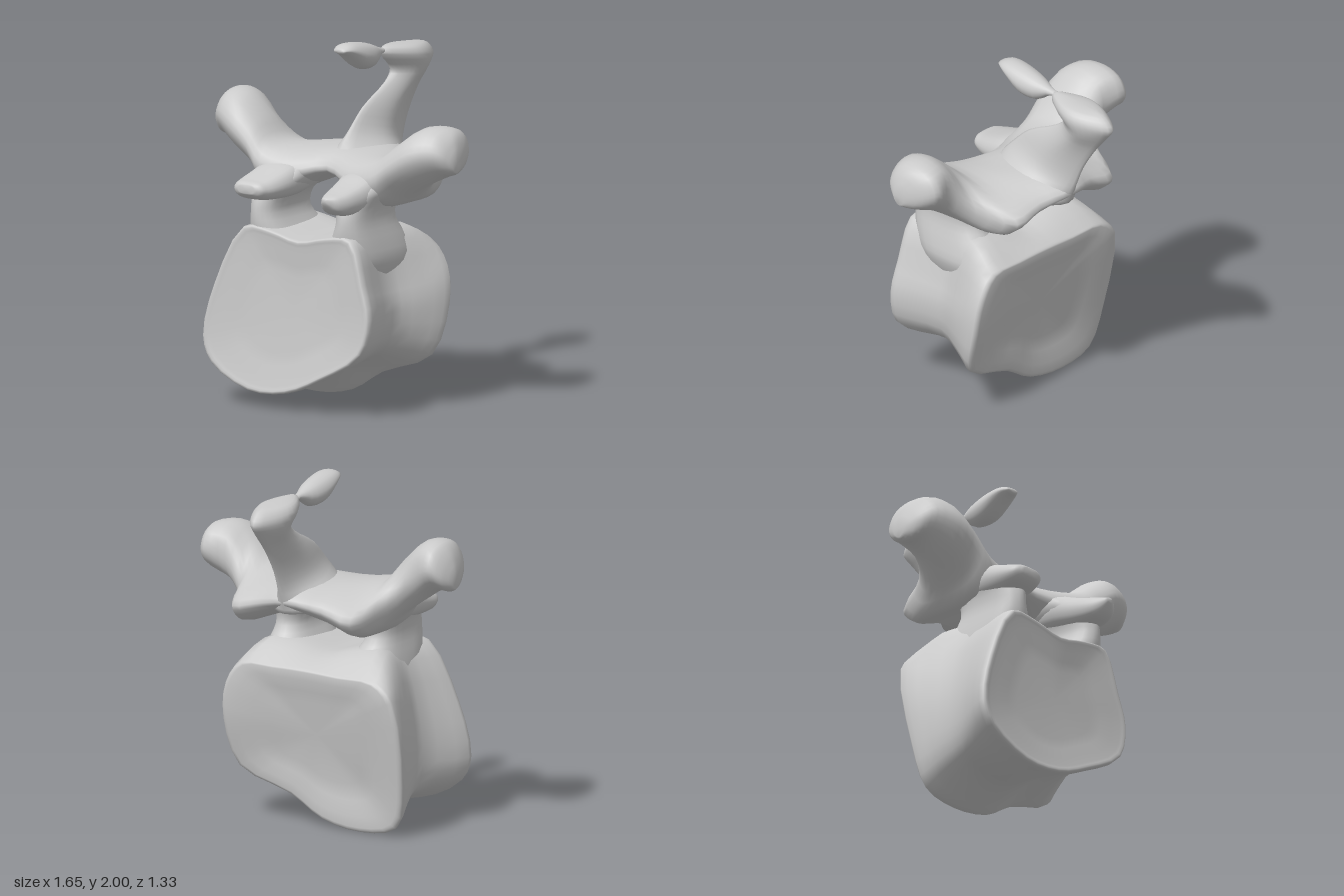
import * as THREE from 'three';

const V = (x, y, z) => new THREE.Vector3(x, y, z);
const material = new THREE.MeshStandardMaterial({ color: 0xcccccc });

// Smooth closed skin through a row of cross-sections (each a loop of points).
function loft(name, sections, sides = 28, steps = 3) {
  const loops = sections.map(pts => {
    const curve = new THREE.CatmullRomCurve3(pts, true, 'centripetal');
    return Array.from({ length: sides }, (_, i) => curve.getPoint(i / sides));
  });
  const rows = (loops.length - 1) * steps + 1;
  const columns = Array.from({ length: sides }, (_, i) =>
    new THREE.CatmullRomCurve3(loops.map(l => l[i]), false, 'centripetal'));
  const verts = [], index = [];
  for (let r = 0; r < rows; r++) for (const c of columns) verts.push(c.getPoint(r / (rows - 1)));
  for (let r = 0; r < rows - 1; r++) for (let i = 0; i < sides; i++) {
    const a = r * sides + i, b = r * sides + (i + 1) % sides;
    index.push(a, b, a + sides, b, b + sides, a + sides);
  }
  // End caps, fanned from the middle of each end loop
  for (const r of [0, rows - 1]) {
    const mid = V(0, 0, 0), m = verts.length;
    for (let i = 0; i < sides; i++) mid.addScaledVector(verts[r * sides + i], 1 / sides);
    verts.push(mid);
    for (let i = 0; i < sides; i++) {
      const a = r * sides + i, b = r * sides + (i + 1) % sides;
      if (r === 0) index.push(m, b, a); else index.push(m, a, b);
    }
  }
  // Turn the faces outward when the enclosed volume comes out negative
  let volume = 0;
  for (let i = 0; i < index.length; i += 3) {
    const [a, b, c] = [0, 1, 2].map(k => verts[index[i + k]]);
    volume += a.dot(b.clone().cross(c));
  }
  if (volume < 0) index.reverse();
  const g = new THREE.BufferGeometry().setFromPoints(verts);
  g.setIndex(index);
  g.computeVertexNormals();
  const mesh = new THREE.Mesh(g, material);
  mesh.name = name;
  return mesh;
}

// Eight-point loop with half-axis vectors u and v; k below 1 makes it lozenge-shaped.
function oval(center, u, v, k = 1.1) {
  return Array.from({ length: 8 }, (_, i) => {
    const a = i * Math.PI / 4, s = i % 2 ? k : 1;
    return center.clone().addScaledVector(u, Math.cos(a) * s).addScaledVector(v, Math.sin(a) * s);
  });
}

function vertebralBody() {
  const front = [[-.38, 1], [-.2, 1], [0, .96], [.2, 1], [.36, 1], [.45, .76], [.5, .57], [.45, .37],
    [.18, .2], [-.06, .1], [-.32, .09], [-.58, .22], [-.64, .36], [-.57, .66]];
  const back = [[-.45, .9], [-.22, .91], [0, .92], [.22, .92], [.42, .91], [.52, .78], [.55, .57], [.49, .29],
    [.17, .16], [-.03, .04], [-.28, 0], [-.5, .05], [-.57, .3], [-.56, .8]];
  const cx = -.04, cy = .53;
  // t: 0 front to 1 back, s: size about the centre
  const ring = (t, s, zAt, keepTop) => front.map(([x, y], i) => {
    const px = x + (back[i][0] - x) * t, py = y + (back[i][1] - y) * t;
    const yy = cy + (py - cy) * s;
    const top = keepTop && i < 5;
    return V(cx + (px - cx) * s, top ? (i === 2 ? .97 : 1.01) : yy, zAt(yy));
  });
  const face = y => .59 - .05 * y;
  const rear = y => -.025 - .135 * THREE.MathUtils.smoothstep(y, .05, .75);
  return loft('vertebralBody', [
    ring(0, .5, y => face(y) - .03),
    ring(0, .9, y => face(y) - .005),
    ring(0, .98, face),
    ring(.03, 1, y => face(y) - .04),
    ring(.5, .84, () => .25, true),
    ring(.8, .93, y => .1 - .08 * y, true),
    ring(1, 1, y => rear(y) + .02),
    ring(1, .95, rear),
    ring(1, .5, y => rear(y) + .04),
  ], 42);
}

function pedicle(side) {
  // y, inner x, outer x, rear z, front z; the foot flares into the body
  const rows = [[.62, .1, .3, .1, .4], [.84, .1, .42, -.06, .48], [.96, .14, .41, -.01, .525], [1.08, .2, .385, .08, .535],
    [1.17, .185, .39, .07, .52], [1.25, .13, .42, .0, .47], [1.33, .12, .4, .02, .34]];
  return loft('pedicle', rows.map(([y, a, b, c, d]) =>
    oval(V(side * (a + b) / 2, y, (c + d) / 2), V((b - a) / 2, 0, 0), V(0, 0, (d - c) / 2))));
}

// Roof of the arch running out into both transverse processes
function archAndTransverseProcesses() {
  // x, lift and z shift on the right-hand side, loop of [z, y]
  const half = [
    [.2, 0, 0, [[.36, 1.28], [.29, 1.38], [0, 1.42], [-.2, 1.38], [-.31, 1.3], [-.22, 1.22], [0, 1.2], [.25, 1.21]]],
    [.38, 0, 0, [[.39, 1.3], [.32, 1.42], [.1, 1.43], [-.15, 1.35], [-.3, 1.26], [-.22, 1.17], [0, 1.14], [.3, 1.17]]],
    [.48, .04, 0, [[.38, 1.37], [.31, 1.49], [.12, 1.51], [0, 1.42], [-.08, 1.3], [-.04, 1.22], [.1, 1.2], [.28, 1.24]]],
    [.61, .06, 0, [[.37, 1.45], [.3, 1.57], [.15, 1.61], [.02, 1.56], [-.01, 1.43], [.03, 1.33], [.15, 1.28], [.3, 1.33]]],
    [.73, .07, -.01, [[.32, 1.48], [.26, 1.58], [.12, 1.61], [0, 1.57], [-.04, 1.48], [0, 1.4], [.12, 1.34], [.26, 1.38]]],
    [.79, .05, -.04, [[.28, 1.47], [.24, 1.53], [.15, 1.57], [.06, 1.53], [.03, 1.46], [.06, 1.4], [.15, 1.36], [.24, 1.39]]],
    [.825, .05, -.08, [[.22, 1.43], [.21, 1.46], [.18, 1.48], [.15, 1.46], [.14, 1.43], [.15, 1.4], [.18, 1.38], [.21, 1.4]]],
  ];
  const middle = [[.28, 1.32], [.21, 1.4], [-.05, 1.43], [-.3, 1.4], [-.37, 1.34], [-.28, 1.28], [0, 1.27], [.2, 1.28]];
  const make = s => half.map(([x, lift, shift, pts]) =>
    pts.map(([z, y]) => s < 0 ? V(-x, y + lift, z + shift) : V(x, y, z)));
  return loft('archAndTransverseProcesses',
    [...make(-1).reverse(), middle.map(([z, y]) => V(0, y, z)), ...make(1)]);
}

function superiorArticularProcess(side) {
  // z, inner x, outer x, bottom y, top y
  const rows = side > 0
    ? [[.15, .16, .4, 1.17, 1.34], [.33, .14, .4, 1.14, 1.34], [.46, .16, .385, 1.13, 1.295],
      [.57, .19, .365, 1.14, 1.265], [.62, .22, .34, 1.17, 1.255], [.655, .25, .29, 1.215, 1.245]]
    : [[.15, .16, .4, 1.17, 1.34], [.33, .14, .42, 1.15, 1.34], [.46, .16, .425, 1.15, 1.3],
      [.55, .19, .42, 1.16, 1.27], [.59, .21, .4, 1.18, 1.26], [.61, .25, .36, 1.2, 1.245]];
  return loft('superiorArticularProcess', rows.map(([z, a, b, c, d]) =>
    oval(V(side * (a + b) / 2, (c + d) / 2, z), V((b - a) / 2, 0, 0), V(0, (d - c) / 2, 0))));
}

function spinousProcess() {
  // front z, front y, back z, back y, half width
  const rows = [[.2, 1.34, -.34, 1.27, .26], [.16, 1.42, -.37, 1.34, .17], [.08, 1.51, -.4, 1.41, .085],
    [-.04, 1.62, -.45, 1.53, .06], [-.25, 1.73, -.54, 1.67, .065], [-.31, 1.79, -.63, 1.78, .095],
    [-.22, 1.89, -.67, 1.84, .115], [-.23, 1.925, -.62, 1.9, .09], [-.32, 1.935, -.55, 1.92, .03]];
  return loft('spinousProcess', rows.map(([fz, fy, bz, by, w]) =>
    oval(V(.012, (fy + by) / 2, (fz + bz) / 2), V(0, (fy - by) / 2, (fz - bz) / 2), V(w, 0, 0), .88)));
}

function spinousTip() {
  // z, y, half width, half height
  const rows = [[-.34, 1.88, .05, .045], [-.22, 1.91, .02, .015], [-.11, 1.9, .065, .065],
    [-.01, 1.915, .082, .075], [.08, 1.95, .075, .05], [.13, 1.965, .06, .03], [.17, 1.965, .035, .012]];
  return loft('spinousTip', rows.map(([z, y, w, h]) => oval(V(.005, y, z), V(w, 0, 0), V(0, h, 0), 1)));
}

export function createModel() {
  const model = new THREE.Group();
  model.name = 'vertebra';
  model.add(vertebralBody(), archAndTransverseProcesses(), spinousProcess(), spinousTip());
  for (const side of [-1, 1]) model.add(pedicle(side), superiorArticularProcess(side));
  return model;
}
